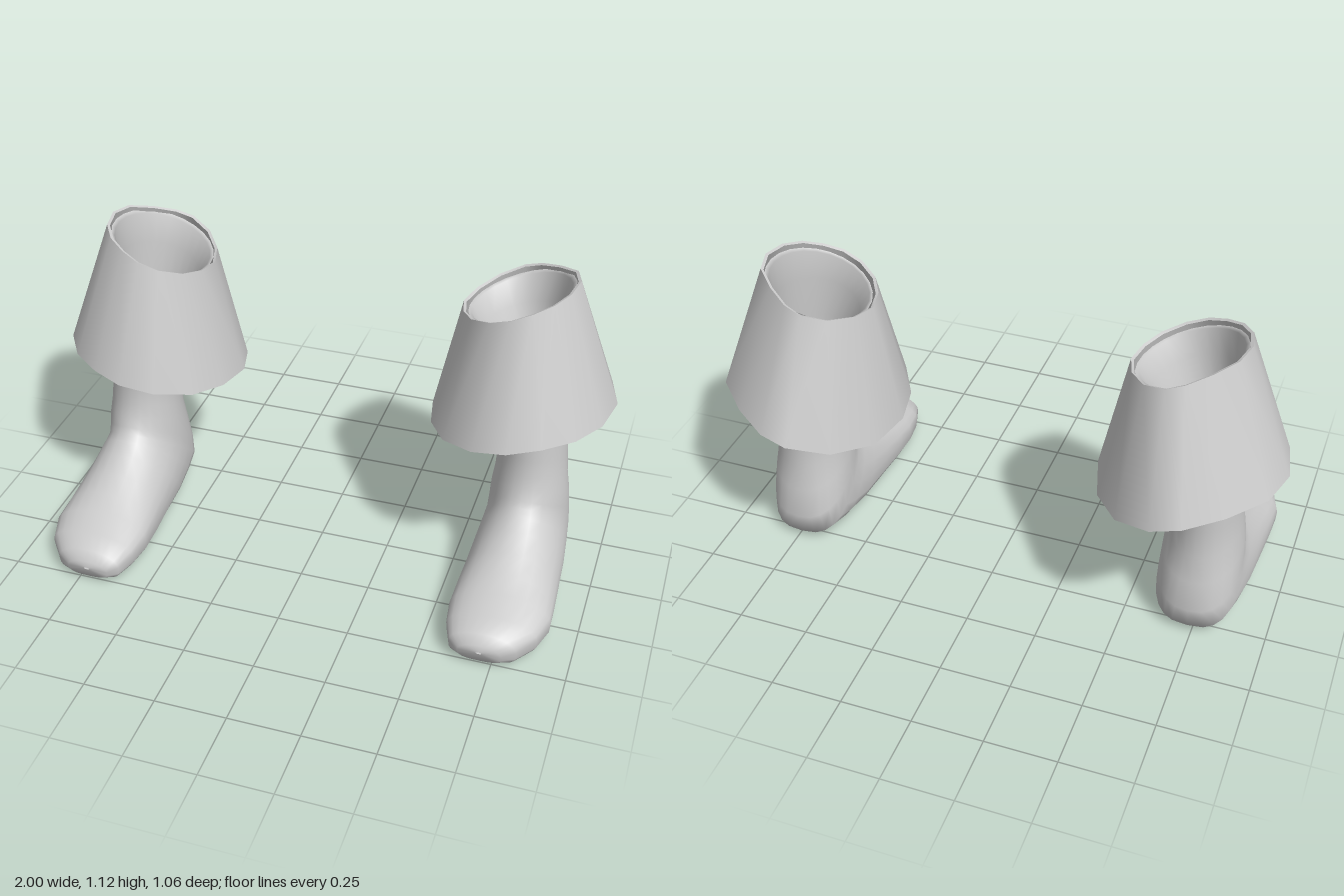
import * as THREE from 'three';

const material = new THREE.MeshStandardMaterial({ color: 0xcccccc, side: THREE.DoubleSide });

// Skin a list of closed rings; side = -1 mirrors in x and reverses the faces
function loft(rings, side, name) {
  const n = rings[0].length, pos = [], idx = [];
  for (const ring of rings) for (const [x, y, z] of ring) pos.push(x * side, y, z);
  const tri = (a, b, c) => (side > 0 ? idx.push(a, b, c) : idx.push(a, c, b));
  for (let i = 0; i < rings.length - 1; i++) {
    for (let j = 0; j < n; j++) {
      const k = (j + 1) % n, a = i * n, b = a + n;
      tri(a + j, b + j, a + k);
      tri(a + k, b + j, b + k);
    }
  }
  const geo = new THREE.BufferGeometry();
  geo.setAttribute('position', new THREE.Float32BufferAttribute(pos, 3));
  geo.setIndex(idx);
  geo.computeVertexNormals();
  const mesh = new THREE.Mesh(geo, material);
  mesh.name = name;
  return mesh;
}

// Cross-section between a front/top point and a sole/heel point:
// [topZ, topY, bottomZ, bottomY, centreX, halfWidth, waist, lower squareness, x slope]
function section([tz, ty, bz, by, cx, hw, waist = 0.5, square = 2, slope = 0]) {
  const ring = [], N = 24;
  for (let j = 0; j < N; j++) {
    const a = (j / N) * Math.PI * 2, c = Math.cos(a), s = Math.sin(a);
    const e = 2 / (s < 0 ? square : 2);
    const dx = hw * Math.sign(c) * Math.abs(c) ** e;
    const v = Math.sign(s) * Math.abs(s) ** e;
    const t = waist + (v > 0 ? 1 - waist : waist) * v;
    ring.push([cx + dx, by + (ty - by) * t + slope * dx, bz + (tz - bz) * t]);
  }
  return ring;
}

// Toe to heel, then up the ankle and shin to the flared top
const footSections = [
  [0.528, 0.07, 0.525, 0.06, 0.71, 0.01],
  [0.525, 0.095, 0.512, 0.02, 0.71, 0.075, 0.5, 3],
  [0.5, 0.127, 0.49, 0.013, 0.715, 0.115, 0.5, 4],
  [0.43, 0.148, 0.42, 0.012, 0.73, 0.155, 0.5, 4],
  [0.34, 0.175, 0.33, 0.01, 0.738, 0.175, 0.45, 4],
  [0.27, 0.205, 0.22, 0.008, 0.738, 0.172, 0.42, 4],
  [0.2, 0.24, 0.08, 0.006, 0.738, 0.166, 0.4, 3.5],
  [0.13, 0.28, -0.08, 0.003, 0.737, 0.16, 0.4, 3.2],
  [0.085, 0.315, -0.2, 0.012, 0.736, 0.152, 0.42, 3],
  [0.065, 0.335, -0.3, 0.03, 0.735, 0.145, 0.45, 2.8],
  [0.05, 0.355, -0.315, 0.11, 0.735, 0.142, 0.48, 2.4],
  [0.033, 0.395, -0.295, 0.22, 0.735, 0.137, 0.5, 2.2],
  [0.022, 0.44, -0.28, 0.32, 0.734, 0.127],
  [0.015, 0.5, -0.276, 0.43, 0.732, 0.121],
  [0.015, 0.58, -0.288, 0.54, 0.727, 0.121],
  [0.016, 0.67, -0.3, 0.66, 0.718, 0.125],
  [0.02, 0.82, -0.315, 0.82, 0.69, 0.142, 0.5, 2, 0.1],
  [0.026, 0.96, -0.335, 0.96, 0.66, 0.162, 0.5, 2, 0.25],
  [0.03, 1.035, -0.35, 1.035, 0.645, 0.175, 0.5, 2, 0.36],
];
// Hollow inside of the shin, back down to its floor
const hollowSections = [
  footSections[footSections.length - 1],
  [0.02, 1.03, -0.335, 1.03, 0.645, 0.163, 0.5, 2, 0.36],
  [0.01, 0.94, -0.31, 0.94, 0.665, 0.14, 0.5, 2, 0.25],
  [0.005, 0.8, -0.285, 0.8, 0.695, 0.12, 0.5, 2, 0.1],
  [0.003, 0.65, -0.262, 0.65, 0.718, 0.1],
  [0.0, 0.5, -0.25, 0.5, 0.722, 0.09],
  [-0.12, 0.5, -0.13, 0.5, 0.722, 0.004],
];

// Lower edge of the trouser cuff: [x, y, z]
const hem = [
  [0.63, 0.61, -0.53], [0.73, 0.627, -0.51], [0.85, 0.645, -0.43], [0.96, 0.664, -0.32],
  [0.998, 0.666, -0.18], [0.97, 0.664, -0.03], [0.9, 0.66, 0.08], [0.8, 0.65, 0.15],
  [0.69, 0.634, 0.19], [0.57, 0.608, 0.17], [0.455, 0.58, 0.09], [0.385, 0.562, -0.03],
  [0.357, 0.553, -0.17], [0.4, 0.532, -0.32], [0.5, 0.565, -0.46],
];
const waistband = hem.map(([x, , z]) => {
  const tx = 0.64 + (x - 0.675) * 0.6;
  return [tx, 0.985 + (tx - 0.448) * 0.35, -0.16 + (z + 0.17) * 0.585];
});
const inset = (ring, cx, cz, k, dy) =>
  ring.map(([x, y, z]) => [cx + (x - cx) * k, y + dy, cz + (z - cz) * k]);

function createLeg(side) {
  const leg = new THREE.Group();
  leg.name = side > 0 ? 'leftLeg' : 'rightLeg';

  leg.add(loft(footSections.map(section), side, 'footAndShin'));
  leg.add(loft(hollowSections.map(section), side, 'shinHollow'));

  // Cuff: outer wall, inner wall and the thin edges joining them
  const hemIn = inset(hem, 0.675, -0.17, 0.965, -0.006);
  const topIn = inset(waistband, 0.64, -0.16, 0.95, -0.004);
  leg.add(loft([hem, waistband], side, 'cuffOuter'));
  leg.add(loft([topIn, hemIn], side, 'cuffInner'));
  leg.add(loft([hemIn, hem], side, 'cuffHem'));
  leg.add(loft([waistband, topIn], side, 'cuffTopEdge'));
  return leg;
}

export function createModel() {
  const model = new THREE.Group();
  model.name = 'pairOfLegs';
  for (const side of [1, -1]) model.add(createLeg(side));
  return model;
}
